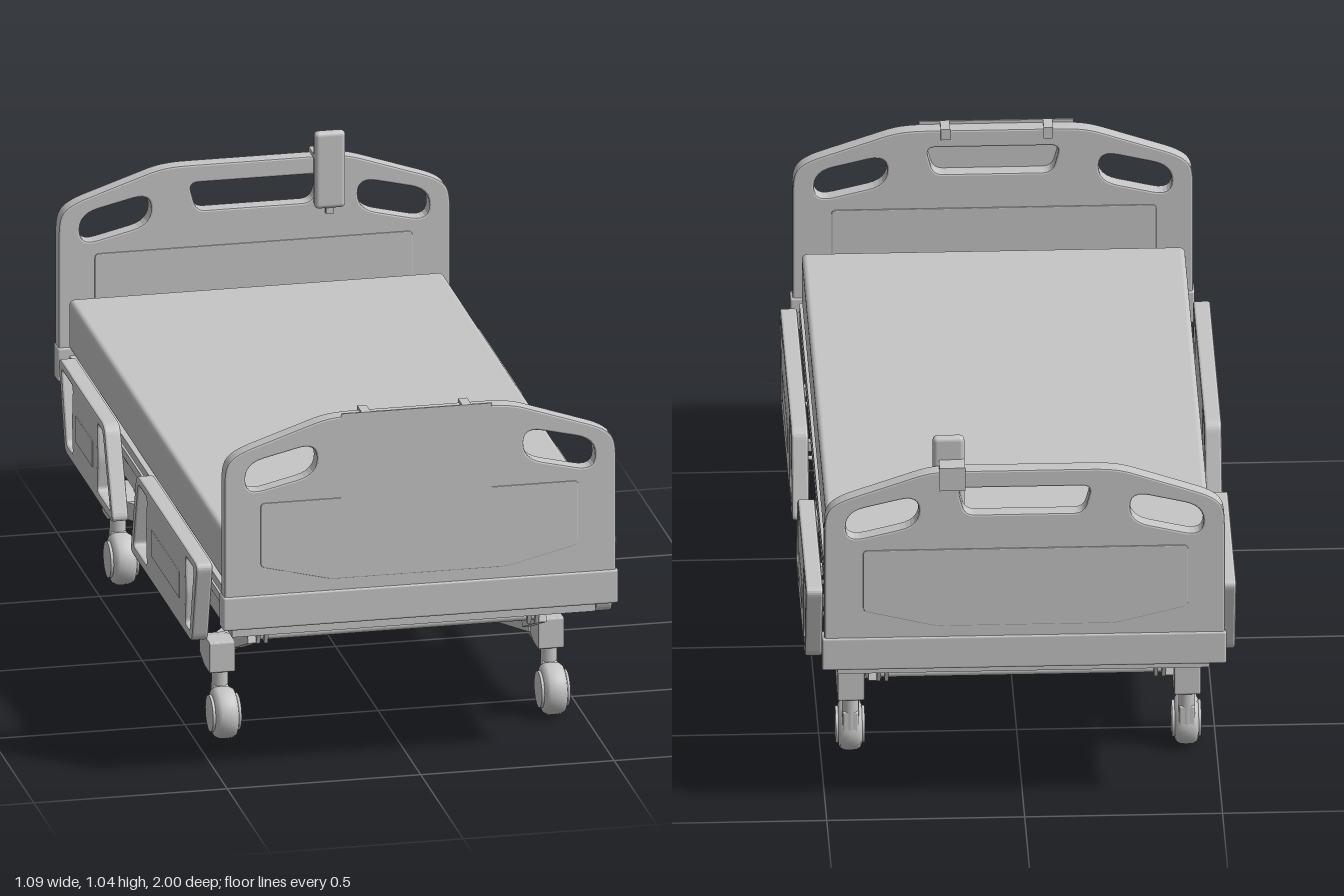
import * as THREE from 'three';
import { RoundedBoxGeometry } from 'three/addons/geometries/RoundedBoxGeometry.js';

export function createModel() {
  const bed = new THREE.Group();
  bed.name = 'hospitalBed';
  const grey = new THREE.MeshStandardMaterial({ color: 0xc6c6c6 });
  grey.name = 'grey';

  const add = (name, geo, parent = bed) => {
    const m = new THREE.Mesh(geo, grey);
    m.name = name;
    parent.add(m);
    return m;
  };
  // Box given by its lower and upper limits on each axis
  const box = (name, x0, x1, y0, y1, z0, z1, r = 0, parent = bed) => {
    const s = [x1 - x0, y1 - y0, z1 - z0];
    const m = add(name, r ? new RoundedBoxGeometry(...s, 3, r) : new THREE.BoxGeometry(...s), parent);
    m.position.set((x0 + x1) / 2, (y0 + y1) / 2, (z0 + z1) / 2);
    return m;
  };
  // Straight bar between two points
  const bar = (name, a, b, w, h, parent = bed) => {
    const p = new THREE.Vector3(...a), q = new THREE.Vector3(...b);
    const m = add(name, new THREE.BoxGeometry(w, h, p.distanceTo(q)), parent);
    m.position.copy(p).add(q).multiplyScalar(0.5);
    m.lookAt(q);
    return m;
  };
  const rod = (name, x0, x1, y, z, r, parent = bed) => {
    const m = add(name, new THREE.CylinderGeometry(r, r, x1 - x0, 24), parent);
    m.rotation.z = Math.PI / 2;
    m.position.set((x0 + x1) / 2, y, z);
    return m;
  };
  // Polygon with rounded corners
  const rounded = (pts, r, Type = THREE.Shape) => {
    const s = new Type();
    const v = pts.map(p => new THREE.Vector2(...p));
    v.forEach((c, i) => {
      const a = v[(i + v.length - 1) % v.length], b = v[(i + 1) % v.length];
      const toward = t => c.clone().add(t.clone().sub(c).setLength(Math.min(r, t.distanceTo(c) * 0.49)));
      const p = toward(a), q = toward(b);
      if (i) s.lineTo(p.x, p.y); else s.moveTo(p.x, p.y);
      s.quadraticCurveTo(c.x, c.y, q.x, q.y);
    });
    s.closePath();
    return s;
  };
  // Extrusion centred on its depth, with a small bevel kept inside the outline
  const plate = (shape, depth, bevel = 0.006) => new THREE.ExtrudeGeometry(shape, {
    depth: depth - 2 * bevel, bevelEnabled: bevel > 0, bevelThickness: bevel,
    bevelSize: bevel, bevelOffset: -bevel, bevelSegments: 2, curveSegments: 6,
  }).translate(0, 0, bevel - depth / 2);

  // Mattress, deck and frame
  box('mattress', -0.484, 0.484, 0.51, 0.645, -0.94, 0.938, 0.014);
  box('mattressDeck', -0.49, 0.49, 0.484, 0.506, -0.9, 0.93);
  box('framePan', -0.47, 0.47, 0.375, 0.435, -0.925, 0.92);
  for (const s of [-1, 1]) {
    const x = s * 0.465;
    box('frameUpperRail', x - 0.025, x + 0.025, 0.453, 0.475, -0.9, 0.955);
    for (const z of [-0.8, -0.3, 0.2, 0.7])
      box('deckSupport', x - 0.012, x + 0.005, 0.43, 0.485, z - 0.02, z + 0.02);
  }

  // End boards with three grip openings
  const half = [[0.506, 0.44], [0.506, 0.84], [0.495, 0.872], [0.462, 0.895], [0.25, 0.967], [0.2, 0.973]];
  const outline = rounded([...half, ...half.map(([x, y]) => [-x, y]).reverse()], 0.03);
  for (const s of [-1, 1]) {
    const grip = [[0.267, 0.906], [0.452, 0.862], [0.452, 0.779], [0.267, 0.823]];
    outline.holes.push(rounded(grip.map(([x, y]) => [s * x, y]), 0.05, THREE.Path));
  }
  outline.holes.push(rounded([[-0.17, 0.925], [0.17, 0.925], [0.15, 0.85], [-0.15, 0.85]], 0.025, THREE.Path));
  const inset = rounded([[-0.413, 0.755], [-0.413, 0.585], [-0.23, 0.54], [0.223, 0.54],
    [0.408, 0.585], [0.408, 0.755]], 0.012);
  for (const s of [-1, 1]) {
    const board = new THREE.Group();
    board.name = s > 0 ? 'footboard' : 'headboard';
    board.position.z = s * 0.974;
    bed.add(board);
    add('boardPanel', plate(outline, 0.042, 0.005), board);
    add('boardInset', plate(inset, 0.048, 0.002), board);
    box('boardBase', -0.51, 0.512, 0.42, 0.51, -0.025, 0.025, 0.006, board);
  }

  // Hanging panel on the footboard
  box('hangingPanel', -0.205, 0.185, 0.7, 0.98, 0.993, 0.998);
  for (const x of [-0.14, 0.12]) {
    box('panelHook', x - 0.012, x + 0.012, 0.972, 0.98, 0.945, 0.996);
    box('panelHookTip', x - 0.012, x + 0.012, 0.95, 0.98, 0.945, 0.951);
  }

  // Hand control hooked over the headboard
  box('handControl', 0.15, 0.23, 0.84, 1.045, -0.95, -0.922, 0.012);
  box('controlHookTop', 0.15, 0.215, 0.972, 0.984, -0.999, -0.935);
  box('controlHookBack', 0.15, 0.215, 0.92, 0.982, -0.999, -0.993);
  box('controlCableEnd', 0.18, 0.2, 0.825, 0.842, -0.943, -0.93);

  // Side rails; profile points are [z, y]
  const rails = [
    { name: 'footSideRail', edge: [[0.838, 0.545], [0.125, 0.545], [0.058, 0.317], [0.775, 0.317]],
      holes: [[[0.8, 0.523], [0.7, 0.523], [0.71, 0.43], [0.7, 0.342], [0.752, 0.342]],
        [[0.25, 0.523], [0.143, 0.523], [0.09, 0.342], [0.25, 0.342], [0.24, 0.43]]], mid: [0.31, 0.64] },
    { name: 'headSideRail', edge: [[-0.255, 0.545], [-0.79, 0.545], [-0.715, 0.317], [-0.15, 0.317]],
      holes: [[[-0.27, 0.523], [-0.335, 0.523], [-0.325, 0.43], [-0.335, 0.342], [-0.182, 0.342]],
        [[-0.62, 0.523], [-0.757, 0.523], [-0.697, 0.342], [-0.62, 0.342], [-0.63, 0.43]]], mid: [-0.58, -0.38] },
  ];
  for (const r of rails) for (const s of [-1, 1]) {
    const g = new THREE.Group();
    g.name = r.name;
    bed.add(g);
    const shape = rounded(r.edge, 0.025);
    r.holes.forEach(h => shape.holes.push(rounded(h, 0.015, THREE.Path)));
    const m = add('railPanel', plate(shape, 0.044, 0.006), g);
    m.rotation.y = -Math.PI / 2;
    m.position.x = s * 0.522;
    const [z0, z1] = r.mid;
    box('railRaisedStrip', s * 0.543 - 0.003, s * 0.543 + 0.003, 0.39, 0.46, z0, z1, 0.002, g);
    // Pivots joining rail to frame
    for (const z of [z0 + 0.01, z1 - 0.01]) {
      rod('railPivot', s * 0.465 - 0.04, s * 0.465 + 0.04, 0.371, z, 0.006, g);
      box('railPivotPlate', s * 0.487 - 0.016, s * 0.487 + 0.016, 0.395, 0.42, z - 0.012, z + 0.012, 0, g);
    }
  }

  // Chassis rectangle
  const zFront = 0.37, zBack = -0.43;
  for (const z of [zFront, zBack])
    box('chassisCrossbar', -0.33, 0.33, 0.186, 0.232, z - 0.02, z + 0.02);
  for (const s of [-1, 1])
    box('chassisSideBar', s * 0.315 - 0.02, s * 0.315 + 0.02, 0.186, 0.232, zBack, zFront);

  // Corner arms, lift links and casters
  const socket = [[0.032, 0.25], [-0.03, 0.25], [-0.088, 0.236], [-0.088, 0.188], [-0.03, 0.168], [0.032, 0.168]];
  for (const e of [-1, 1]) {
    const at = d => -0.03 + e * d;   // distance along the bed from the chassis middle
    const liftZ = at(0.74), liftY = 0.302;
    rod('liftTube', -0.36, 0.36, liftY, liftZ, 0.013);
    for (const s of [-1, 1]) {
      bar('cornerArm', [s * 0.315, 0.209, at(0.4)], [s * 0.405, 0.209, at(0.53)], 0.045, 0.046);
      bar('liftArm', [s * 0.374, 0.228, at(0.57)], [s * 0.374, liftY, at(0.75)], 0.024, 0.034);
      for (const x of [0.34, 0.36])
        bar('liftLink', [s * x, liftY - 0.012, liftZ], [s * x, 0.39, liftZ + e * 0.035], 0.01, 0.035);

      const caster = new THREE.Group();
      caster.name = 'caster';
      caster.position.set(s * 0.425, 0, at(0.6));
      bed.add(caster);
      // Socket tapers towards the corner arm
      const block = add('casterSocket', plate(rounded(socket.map(([z, y]) => [e * z, y]), 0.006), 0.068, 0.004), caster);
      block.rotation.y = -Math.PI / 2;
      const stem = add('casterStem', new THREE.CylinderGeometry(0.021, 0.021, 0.1, 24), caster);
      stem.position.y = 0.125;
      box('casterFork', -0.02, 0.02, 0.06, 0.13, -0.02, 0.02, 0.005, caster);
      // Rounded wheel with side caps
      const wheel = add('casterWheel', new THREE.LatheGeometry([[0, -0.03], [0.05, -0.03], [0.06, -0.026],
        [0.066, -0.016], [0.067, 0], [0.066, 0.016], [0.06, 0.026], [0.05, 0.03], [0, 0.03]]
        .map(p => new THREE.Vector2(...p)), 32), caster);
      wheel.rotation.z = Math.PI / 2;
      wheel.position.set(0, 0.067, 0.045);
      rod('casterHub', -0.037, 0.037, 0.067, 0.045, 0.047, caster);
    }
  }
  return bed;
}
